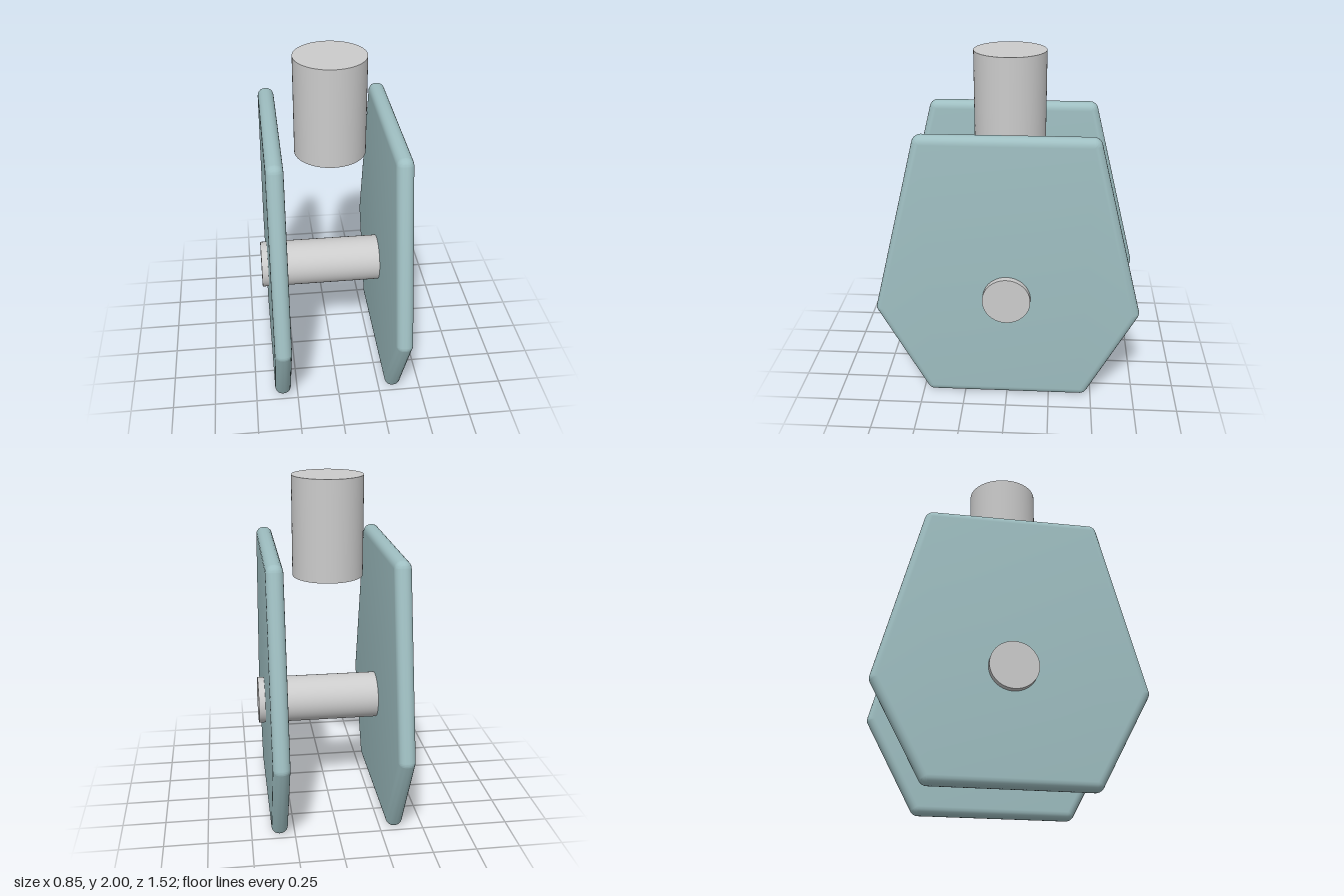
import * as THREE from 'three';
import { toCreasedNormals } from 'three/addons/utils/BufferGeometryUtils.js';

// Polygon outline (counter-clockwise) grown by r, with an arc at each corner
function roundedOutline(points, r) {
  const shape = new THREE.Shape();
  const n = points.length;
  const edgeNormal = (a, b) => Math.atan2(-(b[0] - a[0]), b[1] - a[1]);
  points.forEach((p, i) => {
    const start = edgeNormal(points[(i + n - 1) % n], p);
    const end = edgeNormal(p, points[(i + 1) % n]);
    if (i === 0) shape.moveTo(p[0] + r * Math.cos(start), p[1] + r * Math.sin(start));
    shape.absarc(p[0], p[1], r, start, end, false);
  });
  shape.closePath();
  return shape;
}

export function createModel() {
  const group = new THREE.Group();
  const grey = new THREE.MeshStandardMaterial({ color: 0xcccccc });
  const blueGrey = new THREE.MeshStandardMaterial({ color: 0x9fbfc2 });

  const add = (name, geometry, material, x, y) => {
    const mesh = new THREE.Mesh(geometry, material);
    mesh.name = name;
    mesh.position.set(x, y, 0);
    group.add(mesh);
  };

  // Six-sided side plates with rounded rims
  const corners = [
    [-0.435, 0.055], [0.435, 0.055], [0.71, 0.565],
    [0.46, 1.565], [-0.46, 1.565], [-0.71, 0.565],
  ];
  const depth = 0.007;
  const plate = new THREE.ExtrudeGeometry(roundedOutline(corners, 0.006), {
    depth, bevelEnabled: true, bevelSize: 0.044, bevelThickness: 0.044,
    bevelSegments: 5, curveSegments: 5,
  });
  plate.translate(0, 0, -depth / 2);
  plate.rotateY(Math.PI / 2);
  const smoothPlate = toCreasedNormals(plate, 0.6);
  add('leftPlate', smoothPlate, blueGrey, 0.337, 0);
  add('rightPlate', smoothPlate, blueGrey, -0.337, 0);

  // Axle running through both plates
  const axle = new THREE.CylinderGeometry(0.137, 0.137, 0.845, 64);
  axle.rotateZ(Math.PI / 2);
  add('axle', axle, grey, 0, 0.658);

  // Upright post above the axle
  add('post', new THREE.CylinderGeometry(0.203, 0.203, 0.573, 64), grey, 0, 1.7135);

  return group;
}
